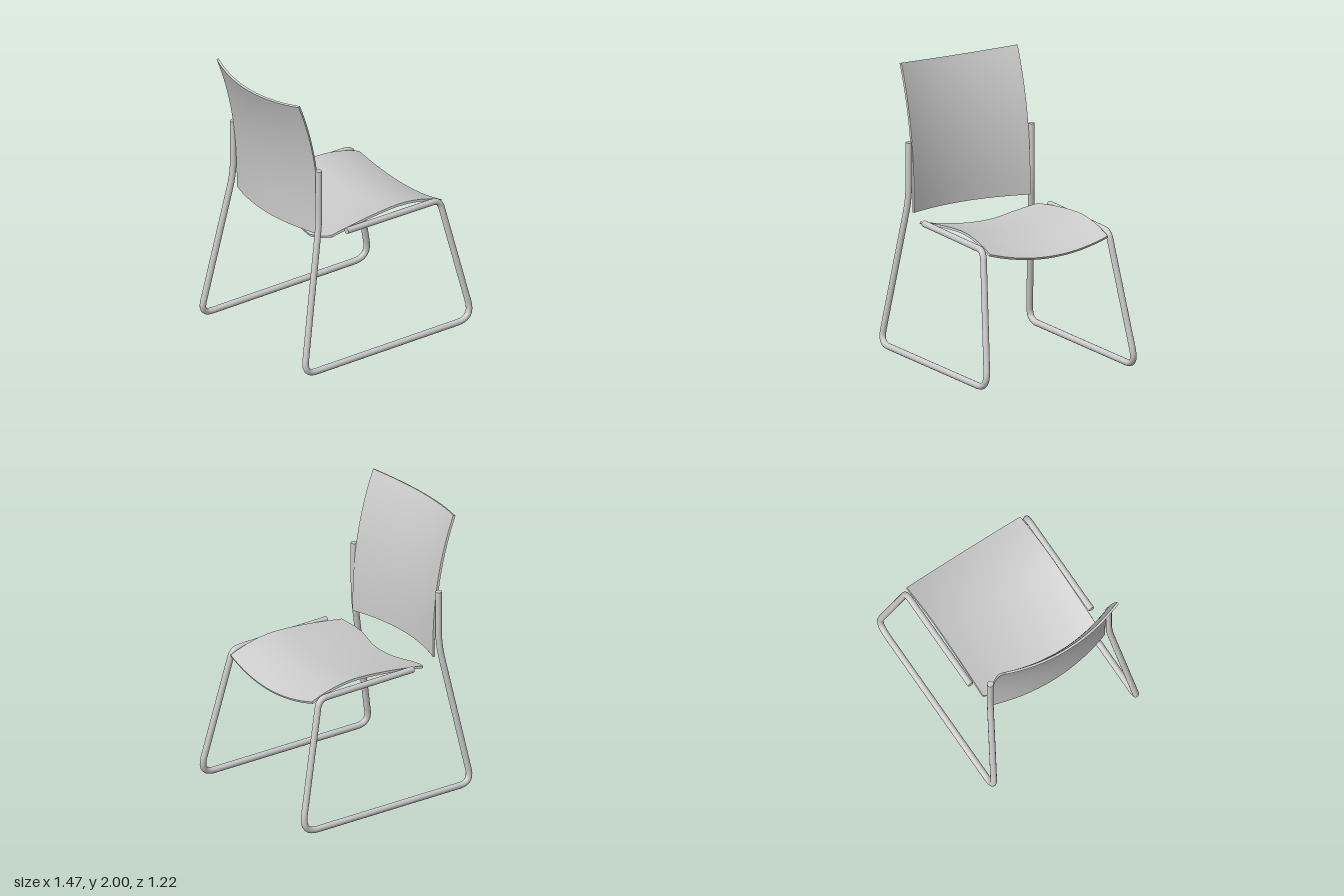
import * as THREE from 'three';
import { mergeGeometries } from 'three/addons/utils/BufferGeometryUtils.js';

const material = new THREE.MeshStandardMaterial({ color: 0xcccccc });
const V = (x, y, z) => new THREE.Vector3(x, y, z);
const HALF = 0.465; // half width of seat and backrest
const TUBE = 0.0225;

// Builds an indexed sheet from rows of points
function sheet(rows, flip) {
  const n = rows[0].length, index = [];
  for (let i = 0; i < rows.length - 1; i++) {
    for (let j = 0; j < n - 1; j++) {
      const a = i * n + j, b = a + 1, c = a + n, d = c + 1;
      index.push(...(flip ? [a, c, b, b, c, d] : [a, b, c, b, d, c]));
    }
  }
  const g = new THREE.BufferGeometry().setFromPoints(rows.flat());
  g.setIndex(index);
  g.computeVertexNormals();
  return g;
}

// Thin curved panel: point(u, v) gives the face, thickness goes against its normal
function panel(name, point, nu, nv, thickness) {
  const face = [], back = [], e = 1e-3;
  for (let i = 0; i <= nu; i++) {
    face.push([]);
    back.push([]);
    for (let j = 0; j <= nv; j++) {
      const u = i / nu, v = j / nv, p = point(u, v);
      const du = point(u + e, v).sub(point(u - e, v));
      const dv = point(u, v + e).sub(point(u, v - e));
      face[i].push(p);
      back[i].push(p.clone().addScaledVector(dv.cross(du).normalize(), -thickness));
    }
  }
  // Rim strips along the four borders
  const borders = (r) => [r[0], r.map((row) => row[nv]), [...r[nu]].reverse(), r.map((row) => row[0]).reverse()];
  const backBorders = borders(back);
  const rims = borders(face).map((line, k) => sheet([line, backBorders[k]], false));
  const geometry = mergeGeometries([sheet(face, false), sheet(back, true), ...rims]);
  const mesh = new THREE.Mesh(geometry, material.clone());
  mesh.material.side = THREE.DoubleSide;
  mesh.name = name;
  return mesh;
}

// Wavy rear edge of the seat, as [distance from centre, x]
const rearEdge = [[0, -0.365], [0.1, -0.37], [0.2, -0.395], [0.28, -0.415], [0.37, -0.41], [0.42, -0.39], [0.48, -0.363]];
function rearX(z) {
  const a = Math.min(Math.abs(z), 0.479);
  const k = rearEdge.findIndex((p) => p[0] > a);
  const [z0, x0] = rearEdge[k - 1], [z1, x1] = rearEdge[k];
  return THREE.MathUtils.mapLinear(a, z0, z1, x0, x1);
}

function seatPoint(u, v) {
  const s = 2 * v - 1, z = s * HALF;
  const x = THREE.MathUtils.lerp(rearX(z), 0.6 - 0.025 * s * s, u);
  const d = x - 0.2;
  const drop = d > 0 ? 0.52 * d * d : 0.158 * Math.pow(-d, 1.5);
  return V(x, 1.013 - drop - 0.062 * (1 - s * s), z);
}

function backrestPoint(u, v) {
  const s = 1 - 2 * v, t = Math.max(u, 0);
  const hollow = 1 - s * s;
  const x = -0.472 - 0.173 * Math.pow(t, 2.4) - 0.081 * hollow;
  return V(x, 0.985 + u * (1.015 - 0.03 * hollow), -s * HALF);
}

// Polyline with rounded corners
function roundedPath(points, radii) {
  const path = new THREE.CurvePath();
  let last = points[0];
  for (let i = 1; i < points.length - 1; i++) {
    const p = points[i], r = radii[i - 1];
    const a = p.clone().add(points[i - 1].clone().sub(p).setLength(r));
    const b = p.clone().add(points[i + 1].clone().sub(p).setLength(r));
    path.add(new THREE.LineCurve3(last, a));
    path.add(new THREE.QuadraticBezierCurve3(a, p, b));
    last = b;
  }
  path.add(new THREE.LineCurve3(last, points[points.length - 1]));
  return path;
}

// One sled frame: seat rail, front leg, floor runner, rear leg and upright
function sideFrame(side, name) {
  const path = roundedPath([
    V(-0.26, 0.96, 0.495 * side),
    V(0.535, 0.96, 0.495 * side),
    V(0.748, 0.04, 0.588 * side),
    V(-0.69, 0.025, 0.588 * side),
    V(-0.488, 1.08, 0.485 * side),
    V(-0.488, 1.48, 0.485 * side),
  ], [0.06, 0.13, 0.1, 0.1]);
  const group = new THREE.Group();
  group.name = name;
  const tube = new THREE.Mesh(new THREE.TubeGeometry(path, 200, TUBE, 14), material);
  tube.name = 'frameTube';
  group.add(tube);
  // End caps
  for (const t of [0, 1]) {
    const cap = new THREE.Mesh(new THREE.CircleGeometry(TUBE, 14), material);
    const out = path.getTangent(t).multiplyScalar(t ? 1 : -1);
    cap.position.copy(path.getPoint(t));
    cap.quaternion.setFromUnitVectors(V(0, 0, 1), out);
    cap.name = 'tubeEnd';
    group.add(cap);
  }
  return group;
}

export function createModel() {
  const chair = new THREE.Group();
  chair.name = 'chair';
  chair.add(
    panel('seat', seatPoint, 24, 40, 0.016),
    panel('backrest', backrestPoint, 24, 24, 0.016),
    sideFrame(1, 'leftFrame'),
    sideFrame(-1, 'rightFrame'),
  );
  return chair;
}
